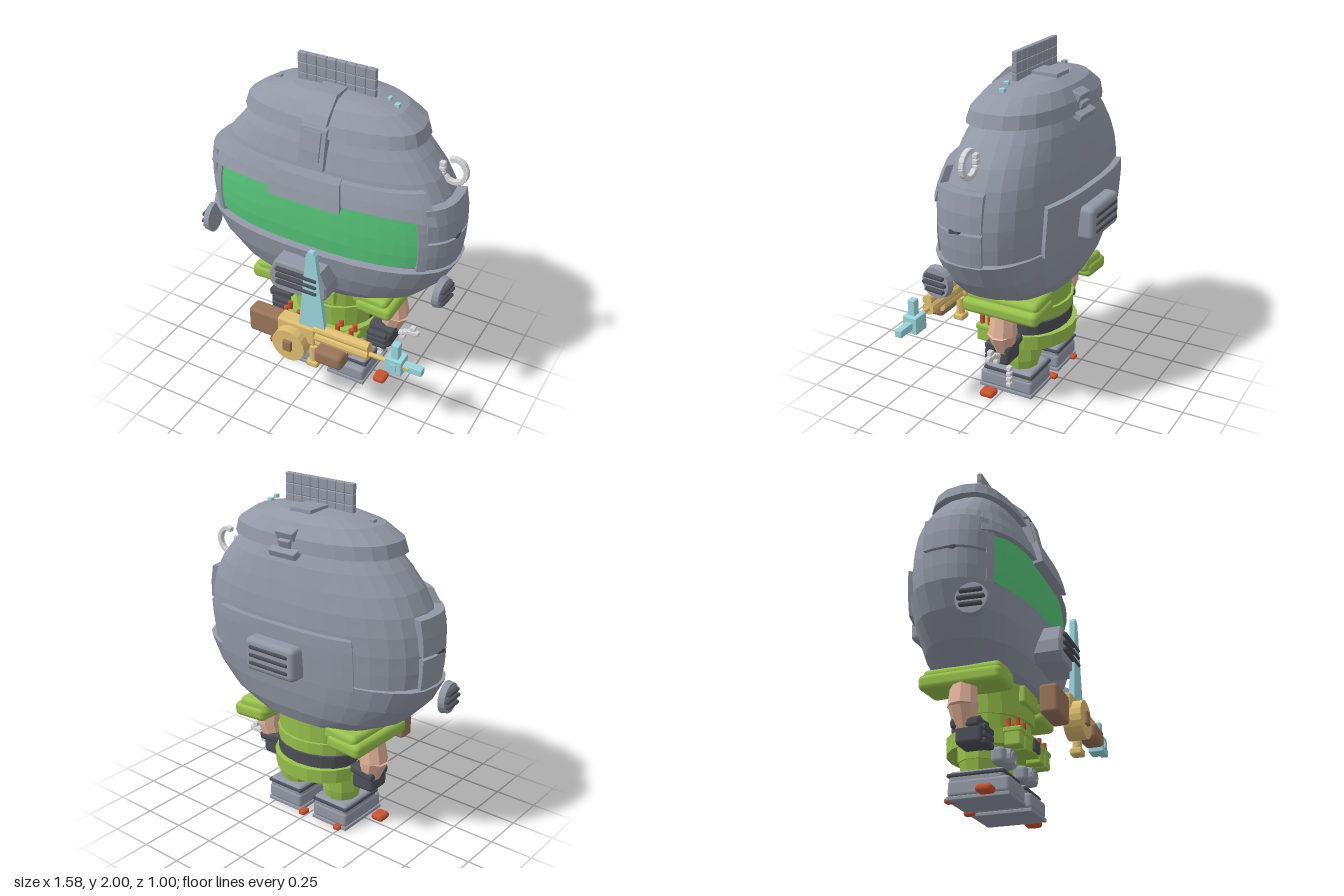
import * as THREE from 'three';
import { RoundedBoxGeometry } from 'three/addons/geometries/RoundedBoxGeometry.js';

const mat = (name, color) => Object.assign(new THREE.MeshStandardMaterial({ color }), { name });
const M = {
  grey: mat('armour grey', 0x9298a6),
  visor: mat('visor green', 0x56c479),
  green: mat('cloth green', 0x98c24c),
  dark: mat('dark rubber', 0x4e5058),
  tan: mat('brass tan', 0xdfbf70),
  brown: mat('wood brown', 0x99745a),
  teal: mat('pale teal', 0x9ad6de),
  skin: mat('skin', 0xe0b29a),
  red: mat('orange red', 0xca5230),
  pale: mat('pale metal', 0xd8d8da),
};

// Helmet sections: [y, half width, front z, back z]
const DOME = [[0.98, 0.725, 0.24, -0.37], [1.1, 0.735, 0.25, -0.38], [1.2, 0.735, 0.25, -0.388], [1.3, 0.72, 0.245, -0.39],
  [1.4, 0.69, 0.235, -0.385], [1.5, 0.635, 0.215, -0.37], [1.6, 0.55, 0.185, -0.35], [1.7, 0.45, 0.14, -0.31]];
const JAW = [[0.63, 0.01, -0.03, -0.05], [0.64, 0.24, 0.1, -0.2], [0.68, 0.42, 0.19, -0.3], [0.76, 0.585, 0.245, -0.335],
  [0.88, 0.7, 0.285, -0.36], [1.01, 0.768, 0.308, -0.378], [1.02, 0.7, 0.22, -0.34]];
const CAP = [[1.67, 0.46, 0.14, -0.3], [1.67, 0.53, 0.19, -0.345], [1.74, 0.51, 0.165, -0.335], [1.81, 0.4, 0.11, -0.29],
  [1.845, 0.24, 0.06, -0.22], [1.855, 0.005, -0.03, -0.05]];

// Point on a squarish oval section
function ovalPoint([y, a, f, b], t, off = 0) {
  const c = -0.04, s = Math.sin(t), k = Math.cos(t);
  const d = (s > 0 ? f - c : c - b) + off;
  return [Math.sign(k) * Math.abs(k) ** 0.8 * (a + off), y, c + Math.sign(s) * Math.abs(s) ** 0.8 * d];
}
function sectionAt(rows, y) {
  let i = 0;
  while (i < rows.length - 2 && rows[i + 1][0] < y) i++;
  const p = rows[i], q = rows[i + 1], u = (y - p[0]) / (q[0] - p[0]);
  return p.map((v, n) => v + (q[n] - v) * u);
}
// Faceted surface through a grid of points
function gridGeometry(rows) {
  const n = rows[0].length, index = [];
  for (let j = 0; j < rows.length - 1; j++) for (let i = 0; i < n - 1; i++) {
    const a = j * n + i, b = a + n;
    index.push(a, b, a + 1, a + 1, b, b + 1);
  }
  const g = new THREE.BufferGeometry();
  g.setAttribute('position', new THREE.Float32BufferAttribute(rows.flat(2), 3));
  g.setIndex(index);
  return flat(g);
}
function flat(g) {
  const f = g.index ? g.toNonIndexed() : g;
  f.computeVertexNormals();
  return f;
}
const ring = (rows, n = 30) => gridGeometry(rows.map(r => Array.from({ length: n + 1 }, (_, i) => ovalPoint(r, i / n * Math.PI * 2))));
// Raised panel following the dome, with closed rims; bow narrows it towards both ends
function panel(t0, t1, y0, y1, off, topOff = off, n = 12, m = 4, bowLow = 0, bowTop = 0) {
  const rows = [];
  for (let j = -1; j <= m + 1; j++) {
    const v = Math.min(m, Math.max(0, j)) / m, row = [];
    for (let i = -1; i <= n + 1; i++) {
      const u = Math.min(n, Math.max(0, i)) / n, e = Math.abs(2 * u - 1) ** 3;
      const rim = j < 0 || j > m || i < 0 || i > n;
      const lo = y0 + bowLow * e, y = lo + (y1 - bowTop * e - lo) * v;
      row.push(ovalPoint(sectionAt(DOME, y), t0 + (t1 - t0) * u, rim ? -0.03 : off + (topOff - off) * v));
    }
    rows.push(row);
  }
  return gridGeometry(rows);
}

export function createModel() {
  const root = new THREE.Group();
  root.name = 'helmetedSoldier';
  const part = name => { const g = new THREE.Group(); g.name = name; root.add(g); return g; };
  const add = (parent, name, geo, m, x = 0, y = 0, z = 0, rx = 0, ry = 0, rz = 0) => {
    const o = new THREE.Mesh(geo, m);
    o.name = name;
    o.position.set(x, y, z);
    o.rotation.set(rx, ry, rz);
    parent.add(o);
    return o;
  };
  const box = (p, name, m, [w, h, d], pos, rot = [0, 0, 0], r = 0.012) =>
    add(p, name, r ? new RoundedBoxGeometry(w, h, d, 2, r) : new THREE.BoxGeometry(w, h, d), m, ...pos, ...rot);
  const cyl = (p, name, m, r0, r1, h, pos, rot = [0, 0, 0], n = 12) =>
    add(p, name, flat(new THREE.CylinderGeometry(r0, r1, h, n)), m, ...pos, ...rot);
  const H = Math.PI / 2;

  // Helmet
  const helmet = part('helmet');
  add(helmet, 'dome', ring(DOME), M.grey);
  add(helmet, 'jaw', ring(JAW), M.grey);
  add(helmet, 'cap', ring(CAP, 24), M.grey);
  add(helmet, 'visorFrame', panel(0.6, Math.PI - 0.6, 1.0, 1.37, 0.015, 0.015, 14), M.grey);
  add(helmet, 'visor', panel(0.71, Math.PI - 0.71, 1.02, 1.36, 0.026, 0.026, 14, 4, 0.02, 0.05), M.visor);
  add(helmet, 'brow', panel(0.5, Math.PI - 0.5, 1.355, 1.475, 0.055, 0.035, 14, 2, -0.05, 0), M.grey);
  add(helmet, 'browBlock', panel(1.37, Math.PI - 1.37, 1.335, 1.48, 0.09, 0.075, 4, 2), M.grey);
  add(helmet, 'backPlate', panel(-Math.PI + 1.0, -1.0, 1.0, 1.28, 0.035), M.grey);
  for (const s of [1, -1]) {
    const at = (a, b) => s > 0 ? [a, b] : [Math.PI - b, Math.PI - a];
    add(helmet, 'visorPost', panel(...at(0.6, 0.71), 1.01, 1.34, 0.035, 0.035, 2), M.grey);
    add(helmet, 'upperEarPlate', panel(...at(-0.22, 0.6), 1.2, 1.395, 0.032, 0.052, 6, 2), M.grey);
    add(helmet, 'lowerEarPlate', panel(...at(-0.22, 0.6), 1.01, 1.185, 0.025, 0.032, 6, 2), M.grey);
    box(helmet, 'earLatch', M.dark, [0.03, 0.025, 0.06], [s * 0.75, 1.192, 0.0], [0, 0, 0], 0.006);
    const ear = part('earVent');
    ear.position.set(s * 0.738, 0.88, 0.12);
    ear.rotation.set(0, s * -0.1, 0);
    cyl(ear, 'earDisc', M.grey, 0.085, 0.092, 0.036, [s * 0.005, 0, 0], [0, 0, -s * H], 20);
    for (const k of [-1, 0, 1]) box(ear, 'earSlat', M.dark, [0.03, 0.02, k ? 0.12 : 0.145], [s * 0.03, k * 0.038, 0], [0, 0, 0], 0.008);
  }

  // Vents on the chin and the back
  const outline = new THREE.Shape([[-0.18, 0.01], [-0.14, 0.1], [0.14, 0.1], [0.18, 0.01], [0.18, -0.06], [0.13, -0.1],
    [-0.13, -0.1], [-0.18, -0.06]].map(p => new THREE.Vector2(...p)));
  add(helmet, 'chinVent', new THREE.ExtrudeGeometry(outline, { depth: 0.17, bevelSize: 0.01, bevelOffset: -0.01, bevelThickness: 0.01, bevelSegments: 1 }), M.grey, 0, 0.86, 0.22);
  box(helmet, 'backVent', M.grey, [0.34, 0.19, 0.14], [0, 1.1, -0.425], [0, 0, 0], 0.03);
  for (const k of [-1, 0, 1]) {
    box(helmet, 'chinSlat', M.dark, [0.26, 0.022, 0.03], [0, 0.872 + k * 0.044, 0.408], [0, 0, 0], 0.009);
    box(helmet, 'backSlat', M.dark, [0.27, 0.022, 0.022], [0, 1.1 + k * 0.045, -0.492], [0, 0, 0], 0.009);
  }

  // Crest strips
  const strip = (name, pts, w) => add(helmet, name, new THREE.ExtrudeGeometry(
    new THREE.Shape(pts.map(([z, y]) => new THREE.Vector2(-z, y))), { depth: w, bevelEnabled: false }).translate(0, 0, -w / 2), M.grey, 0, 0, 0, 0, H, 0);
  strip('capCrest', [[0.195, 1.74], [0.165, 1.785], [0.075, 1.87], [-0.22, 1.865], [-0.22, 1.8], [0.1, 1.74]], 0.14);
  strip('browCrest', [[0.24, 1.5], [0.222, 1.6], [0.195, 1.72], [0.08, 1.72], [0.1, 1.5]], 0.15);
  strip('browCrestRidge', [[0.24, 1.55], [0.234, 1.6], [0.21, 1.71], [0.1, 1.7], [0.1, 1.55]], 0.1);
  box(helmet, 'rearClip', M.grey, [0.12, 0.05, 0.06], [0, 1.755, -0.32], [-0.4, 0, 0], 0.006);
  box(helmet, 'rearClip', M.grey, [0.18, 0.04, 0.06], [0, 1.66, -0.345], [-0.4, 0, 0], 0.006);
  box(helmet, 'rearClipStem', M.grey, [0.08, 0.07, 0.05], [0, 1.7, -0.325], [-0.4, 0, 0], 0.006);

  // Small grid panel, beaded hook and studs on top
  const extras = part('topFittings');
  for (let i = 0; i < 8; i++) for (let j = 0; j < 3; j++)
    box(extras, 'gridCell', M.grey, [0.057, 0.057, 0.03], [-0.202 + i * 0.0577, 1.9715 - j * 0.057, -0.055], [0, 0, 0], 0.006);
  const bead = (x, y, rz = 0) => box(extras, 'chainBead', M.pale, [0.034, 0.028, 0.03], [x, y, -0.055], [0, 0, rz], 0.006);
  for (let i = 0; i < 11; i++) {
    const t = 1.75 - i * 0.4;
    bead(0.69 + Math.cos(t) * 0.064, 1.535 + Math.sin(t) * 0.068, t + H);
  }
  for (const y of [1.56, 1.53, 1.5]) bead(0.622, y);
  box(extras, 'stud', M.teal, [0.028, 0.025, 0.03], [0.352, 1.825, -0.055], [0, 0, 0], 0.004);
  box(extras, 'stud', M.teal, [0.02, 0.02, 0.03], [0.308, 1.855, -0.055], [0, 0, 0], 0.004);
  box(extras, 'stud', M.grey, [0.03, 0.02, 0.03], [-0.35, 1.825, -0.055], [0, 0, 0], 0.004);

  // Torso and belt
  const body = part('body');
  const tube = (name, m, r0, r1, y0, y1, sz = 0.8, z = -0.05) => cyl(body, name, m, r1, r0, y1 - y0, [0, (y0 + y1) / 2, z], [0, 0, 0], 20).scale.set(1, 1, sz);
  tube('torso', M.green, 0.25, 0.27, 0.36, 0.68, 0.8);
  tube('chestBand', M.green, 0.265, 0.27, 0.47, 0.54, 0.84);
  tube('belt', M.dark, 0.258, 0.262, 0.38, 0.46, 0.74, -0.075);
  tube('skirt', M.green, 0.28, 0.285, 0.3, 0.385, 0.88);
  box(body, 'buckle', M.dark, [0.09, 0.07, 0.04], [0, 0.34, 0.19]);
  box(body, 'collar', M.green, [0.22, 0.1, 0.04], [0, 0.61, 0.155]);
  for (const s of [1, -1]) {
    for (const x of [0.12, 0.21]) {
      box(body, 'pouch', M.green, [0.075, 0.1, 0.09], [s * x, 0.325, 0.15]);
      box(body, 'pouchFlap', M.green, [0.083, 0.03, 0.1], [s * x, 0.365, 0.15], [0, 0, 0], 0.008);
      for (const z of [0.12, 0.17]) cyl(body, 'shell', M.red, 0.015, 0.015, 0.06, [s * (x + 0.01), 0.4, z], [0, 0, 0], 8);
    }
    // Sleeves, arms and gloves
    const arm = part('arm');
    box(arm, 'sleeve', M.green, [0.22, 0.09, 0.44], [s * 0.315, 0.652, -0.07], [0, 0, -s * 0.1], 0.03);
    box(arm, 'sleeveRoll', M.green, [0.225, 0.085, 0.465], [s * 0.345, 0.612, -0.07], [0, 0, -s * 0.06], 0.03);
    cyl(arm, 'upperArm', M.skin, 0.07, 0.082, 0.15, [s * 0.385, 0.53, -0.065], [0, 0, s * 0.1], 9);
    cyl(arm, 'forearm', M.skin, 0.082, 0.06, 0.12, [s * 0.38, 0.41, -0.06], [0, 0, -s * 0.25], 9);
    box(arm, 'gloveCuff', M.dark, [0.16, 0.05, 0.16], [s * 0.345, 0.375, -0.045], [0, 0, -s * 0.1], 0.015);
    box(arm, 'glove', M.dark, [0.15, 0.11, 0.15], [s * 0.335, 0.31, -0.03], [0, 0, 0], 0.025);
    for (let i = 0; i < 3; i++) box(arm, 'finger', M.dark, [0.13, 0.035, 0.05], [s * 0.325, 0.345 - i * 0.037, 0.035], [0, 0, 0], 0.012);
    // Legs and boots
    const leg = part('leg');
    cyl(leg, 'thigh', M.green, 0.125, 0.12, 0.16, [s * 0.165, 0.3, -0.06], [0, 0, 0], 10);
    cyl(leg, 'shin', M.green, 0.12, 0.085, 0.16, [s * 0.165, 0.17, -0.06], [0, 0, 0], 10);
    box(leg, 'kneePad', M.grey, [0.18, 0.09, 0.08], [s * 0.17, 0.235, 0.07], [0, 0, 0], 0.025);
    cyl(leg, 'kneeDisc', M.grey, 0.055, 0.06, 0.05, [s * 0.17, 0.23, 0.105], [H, 0, 0], 14);
    add(leg, 'kneeRing', new THREE.TorusGeometry(0.033, 0.008, 6, 14), M.grey, s * 0.17, 0.23, 0.13);
    box(leg, 'bootShaft', M.grey, [0.235, 0.09, 0.3], [s * 0.17, 0.115, -0.035], [0, 0, 0], 0.02);
    box(leg, 'bootStrap', M.dark, [0.25, 0.02, 0.315], [s * 0.17, 0.137, -0.035], [0, 0, 0], 0.008);
    box(leg, 'bootFoot', M.grey, [0.245, 0.09, 0.34], [s * 0.17, 0.068, -0.02], [0, 0, 0], 0.02);
    box(leg, 'bootSole', M.grey, [0.25, 0.022, 0.345], [s * 0.17, 0.016, -0.02], [0, 0, 0], 0.006);
    box(leg, 'footStud', M.red, [0.08, 0.042, 0.09], [s * 0.365, 0.024, 0.05], [0, 0, 0], 0.02);
    box(leg, 'heelStud', M.red, [0.045, 0.03, 0.06], [s * 0.13 - 0.11, 0.018, -0.19], [0, 0, 0], 0.013);
  }
  // Loose chain beside the hand and boots
  for (const [x, y] of [[0.435, 0.5], [0.435, 0.47], [0.44, 0.44], [0.44, 0.33], [0.465, 0.345], [0.49, 0.355], [0.515, 0.355],
    [0.535, 0.36], [0.515, 0.39], [0.45, 0.305]]) bead(x, y);
  for (let i = 0; i < 4; i++) {
    bead(0.305, 0.075 + i * 0.035);
    bead(-0.045, 0.075 + i * 0.025);
  }

  // Gun
  const gun = part('gun');
  const acrossX = [0, 0, H];
  box(gun, 'stock', M.brown, [0.23, 0.16, 0.1], [-0.205, 0.48, 0.37], [0, 0, 0], 0.02);
  box(gun, 'receiver', M.tan, [0.24, 0.12, 0.09], [0.0, 0.52, 0.385]);
  cyl(gun, 'drum', M.tan, 0.105, 0.105, 0.1, [-0.02, 0.45, 0.433], [H, 0, 0], 20);
  box(gun, 'drumPlate', M.brown, [0.055, 0.075, 0.024], [-0.02, 0.455, 0.488], [0, 0, 0], 0.008);
  cyl(gun, 'upperTube', M.tan, 0.03, 0.03, 0.34, [0.28, 0.572, 0.395], acrossX);
  cyl(gun, 'middleTube', M.tan, 0.038, 0.038, 0.34, [0.28, 0.52, 0.39], acrossX);
  cyl(gun, 'lowerTube', M.tan, 0.03, 0.03, 0.22, [0.21, 0.475, 0.39], acrossX);
  cyl(gun, 'barrel', M.tan, 0.014, 0.014, 0.3, [0.54, 0.52, 0.39], acrossX);
  box(gun, 'foregrip', M.brown, [0.175, 0.095, 0.11], [0.235, 0.45, 0.435], [0, 0, 0], 0.025);
  cyl(gun, 'handle', M.tan, 0.026, 0.026, 0.13, [0.1, 0.37, 0.395], [0, 0, 0], 10);
  box(gun, 'handleEnd', M.tan, [0.075, 0.04, 0.07], [0.1, 0.315, 0.395]);
  box(gun, 'muzzle', M.teal, [0.1, 0.1, 0.09], [0.605, 0.515, 0.375], [0, 0, 0], 0.006);
  box(gun, 'muzzleInset', M.teal, [0.04, 0.045, 0.01], [0.605, 0.515, 0.422], [0, 0, 0], 0);
  box(gun, 'muzzleTab', M.teal, [0.045, 0.095, 0.045], [0.605, 0.608, 0.38], [0, 0, 0], 0.006);
  box(gun, 'muzzleTip', M.teal, [0.11, 0.045, 0.045], [0.71, 0.515, 0.375], [0, 0, 0], 0.006);
  const blade = new THREE.Shape([[0.015, 0.58], [0.18, 0.58], [0.125, 1.08], [0.11, 1.1], [0.08, 1.1], [0.068, 1.08]].map(p => new THREE.Vector2(...p)));
  add(gun, 'blade', new THREE.ExtrudeGeometry(blade, { depth: 0.03, bevelEnabled: false }), M.teal, 0, 0, 0.383);
  return root;
}
